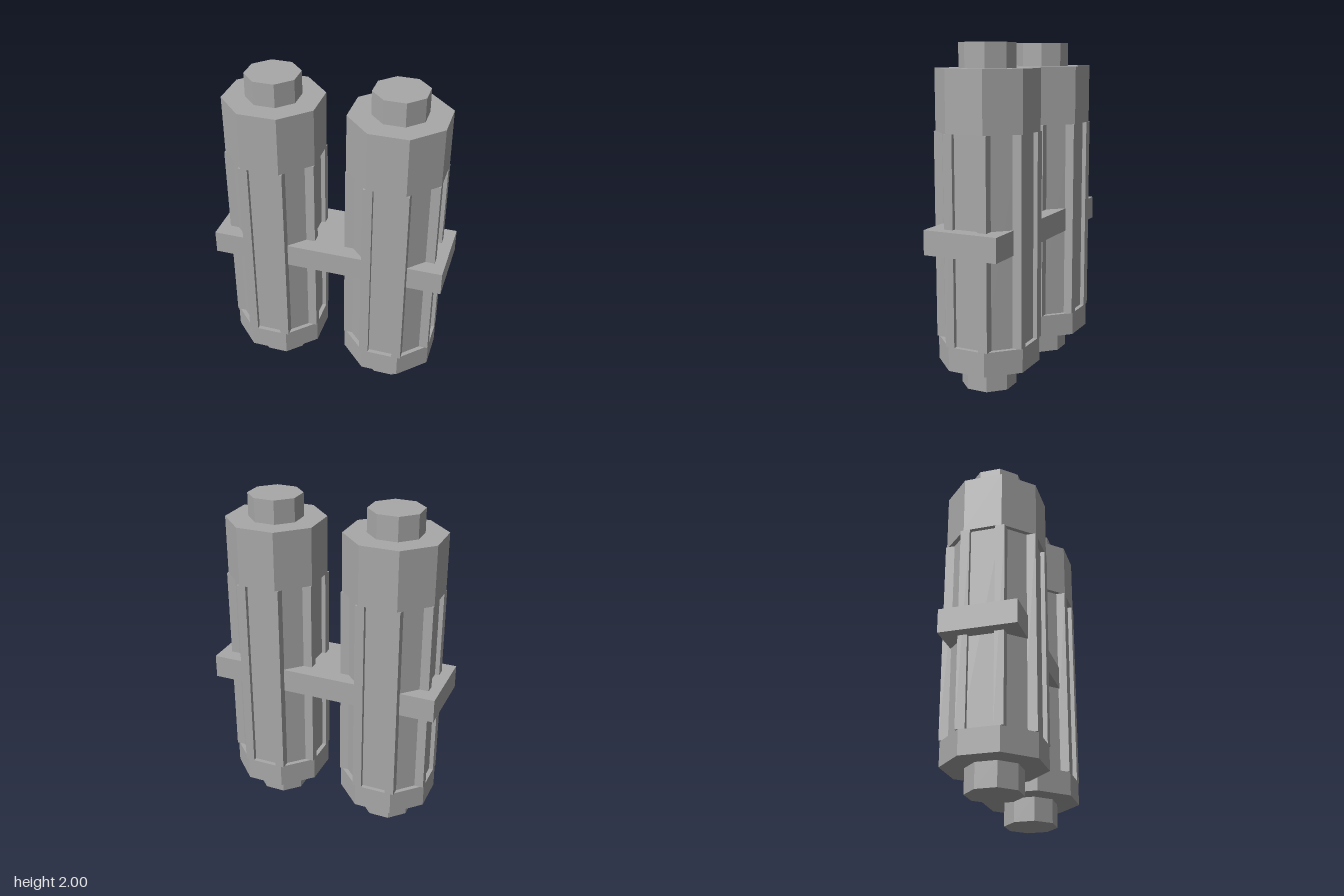
import * as THREE from 'three';

const grey = new THREE.MeshStandardMaterial({ color: 0xa8a8a8 });
grey.name = 'plain grey';

// Octagonal prism with flat sides facing the axes
function octagon(name, apothem, y0, y1) {
  const r = apothem / Math.cos(Math.PI / 8);
  const geo = new THREE.CylinderGeometry(r, r, y1 - y0, 8).toNonIndexed();
  geo.rotateY(Math.PI / 8);
  geo.computeVertexNormals();
  const mesh = new THREE.Mesh(geo, grey);
  mesh.position.y = (y0 + y1) / 2;
  mesh.name = name;
  return mesh;
}

function box(name, w, h, d, x, y, z) {
  const mesh = new THREE.Mesh(new THREE.BoxGeometry(w, h, d), grey);
  mesh.position.set(x, y, z);
  mesh.name = name;
  return mesh;
}

function createCanister(name) {
  const g = new THREE.Group();
  g.name = name;
  g.add(
    octagon('bottomKnob', 0.151, 0, 0.145),
    octagon('bottomCollar', 0.277, 0.145, 0.288),
    octagon('core', 0.251, 0.288, 1.505),
    octagon('topCollar', 0.277, 1.505, 1.858),
    octagon('topKnob', 0.151, 1.858, 2),
  );
  // Pairs of upright ribs on the four main sides
  for (let i = 0; i < 4; i++) {
    const side = new THREE.Group();
    side.name = 'ribPair';
    side.rotation.y = i * Math.PI / 2;
    for (const s of [-1, 1]) {
      side.add(box('rib', 0.056, 1.217, 0.077, s * 0.105, 0.8965, 0.2385));
    }
    g.add(side);
  }
  return g;
}

export function createModel() {
  const model = new THREE.Group();
  model.name = 'twinCanisters';
  for (const s of [-1, 1]) {
    const canister = createCanister(s > 0 ? 'leftCanister' : 'rightCanister');
    canister.position.x = s * 0.371;
    model.add(canister);
  }
  // Flat plate joining both canisters
  model.add(box('connectingPlate', 1.424, 0.143, 0.455, 0, 0.902, 0));
  return model;
}
